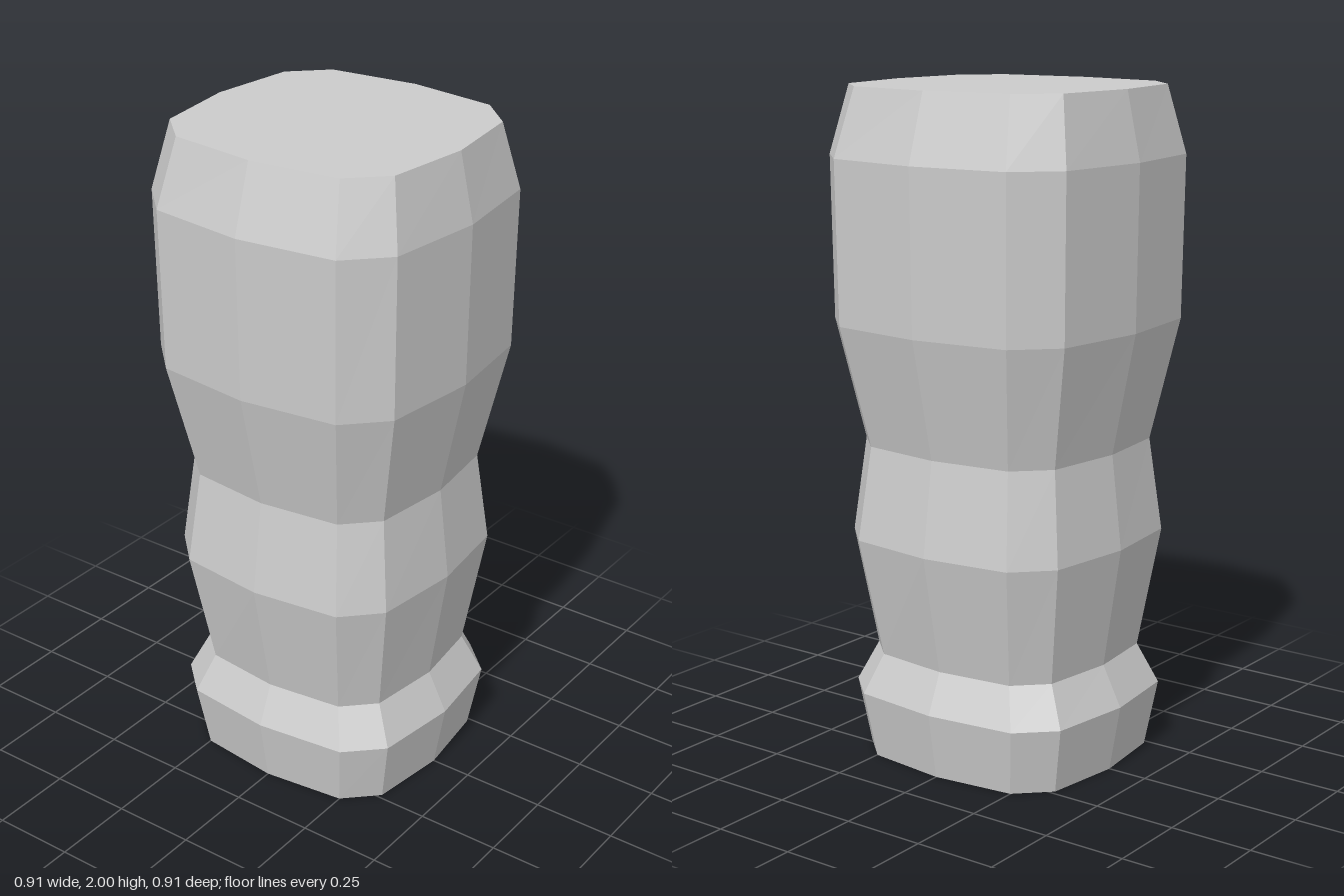
import * as THREE from 'three';

// Height, half width (x) and half depth (z) of each ring, bottom to top
const RINGS = [
  [0, 0.355, 0.375],
  [0.2, 0.388, 0.411],
  [0.32, 0.336, 0.35],
  [0.96, 0.365, 0.373],
  [0.68, 0.405, 0.406],
  [1.32, 0.446, 0.447],
  [1.8, 0.453, 0.453],
  [2, 0.39, 0.409],
].sort((a, b) => a[0] - b[0]);

// Twelve-sided outline: a square with bowed sides and cut corners, built by quarter turns
function outline() {
  const quarter = [[0, 1], [0.665, 0.92], [0.918, 0.665]];
  const points = [];
  for (let turn = 0; turn < 4; turn++) {
    const c = Math.round(Math.cos(turn * Math.PI / 2));
    const s = Math.round(Math.sin(turn * Math.PI / 2));
    for (const [x, z] of quarter) points.push([x * c + z * s, z * c - x * s]);
  }
  return points;
}

// Joins the scaled outlines into a closed body
function loft(rings, section) {
  const n = section.length;
  const positions = [];
  const index = [];
  for (const [y, w, d] of rings) {
    for (const [x, z] of section) positions.push(x * w, y, z * d);
  }
  for (let r = 0; r < rings.length - 1; r++) {
    for (let i = 0; i < n; i++) {
      const a = r * n + i;
      const b = r * n + (i + 1) % n;
      index.push(a, b, b + n, a, b + n, a + n);
    }
  }
  // Flat bottom and top
  const top = (rings.length - 1) * n;
  for (let i = 1; i < n - 1; i++) {
    index.push(0, i + 1, i);
    index.push(top, top + i, top + i + 1);
  }
  const geometry = new THREE.BufferGeometry();
  geometry.setAttribute('position', new THREE.Float32BufferAttribute(positions, 3));
  geometry.setIndex(index);
  const flat = geometry.toNonIndexed();
  flat.computeVertexNormals();
  return flat;
}

export function createModel() {
  const group = new THREE.Group();
  group.name = 'facetedColumn';
  const material = new THREE.MeshStandardMaterial({ color: 0xcccccc, flatShading: true });
  const body = new THREE.Mesh(loft(RINGS, outline()), material);
  body.name = 'body';
  group.add(body);
  return group;
}
